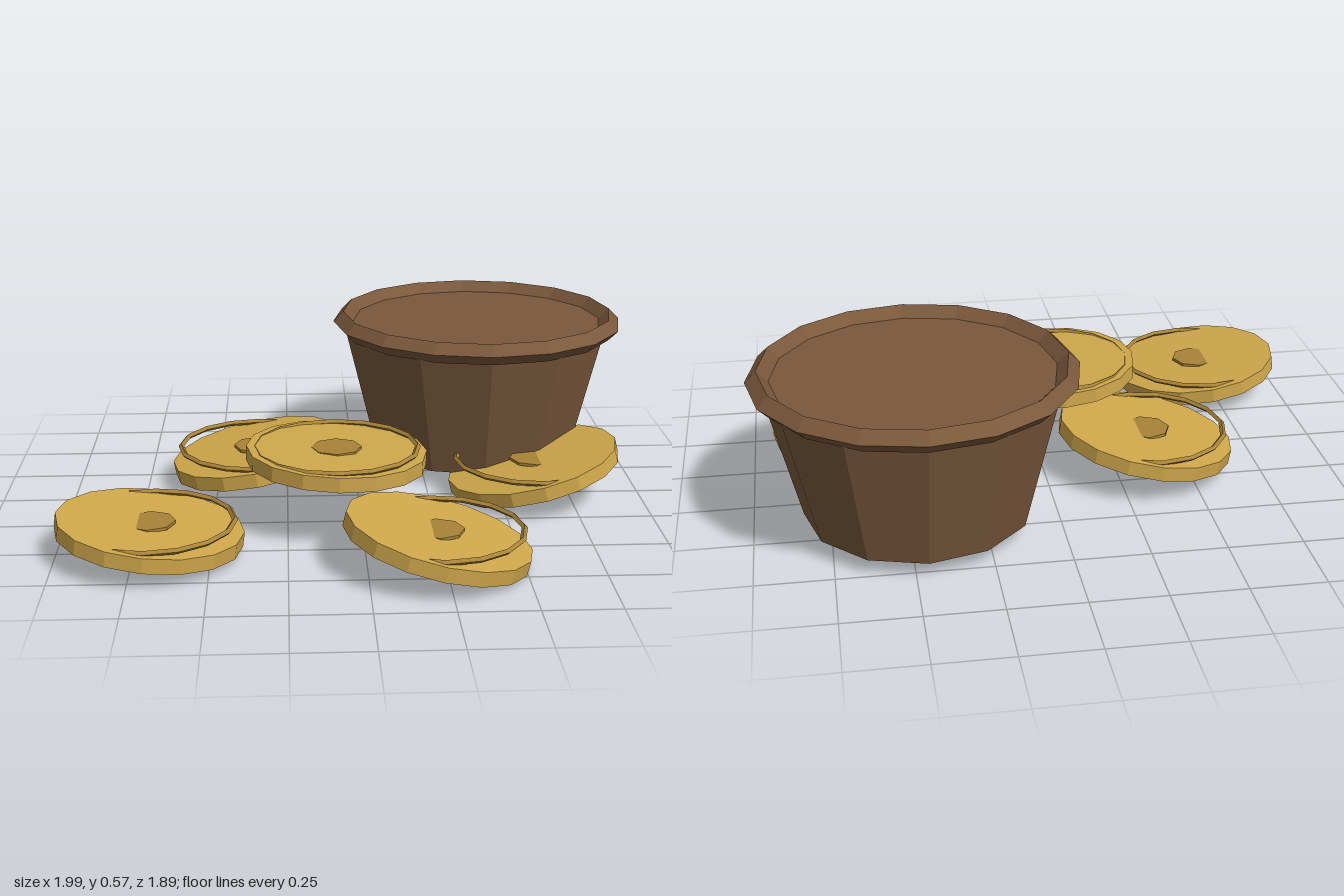
import * as THREE from 'three';

const mat = (name, color) => {
  const m = new THREE.MeshStandardMaterial({ color, flatShading: true });
  m.name = name;
  return m;
};

export function createModel() {
  const model = new THREE.Group();
  const brown = mat('brown', 0x7a583c);
  const gold = mat('gold', 0xd0a84c);
  const darkGold = mat('dark gold', 0xa88338);

  const add = (parent, name, geometry, material, x, y, z) => {
    const mesh = new THREE.Mesh(geometry, material);
    mesh.name = name;
    mesh.position.set(x, y, z);
    parent.add(mesh);
    return mesh;
  };

  // Tapered tub with a filled top and a four-sided rim
  const tub = new THREE.Group();
  tub.name = 'tub';
  tub.position.set(0.46, 0, -0.417);
  model.add(tub);
  add(tub, 'tubBody', new THREE.CylinderGeometry(0.495, 0.375, 0.48, 12), brown, 0, 0.303, 0);
  const rim = new THREE.TorusGeometry(0.495, 0.037, 4, 16).rotateX(Math.PI / 2);
  add(tub, 'tubRim', rim, brown, 0, 0.543, 0);

  // Coins: tilted discs, each with a level ring and centre boss partly sunk in
  const discGeo = new THREE.CylinderGeometry(0.305, 0.305, 0.05, 16);
  const ringGeo = new THREE.TorusGeometry(0.275, 0.01, 4, 16).rotateX(Math.PI / 2);
  const bossGeo = new THREE.CylinderGeometry(0.085, 0.085, 0.01, 8);
  const coins = [ // x, y, z, tilt in radians
    [-0.695, 0.093, 0.505, -0.13],
    [-0.355, 0.127, -0.145, 0.18],
    [-0.083, 0.242, 0.23, -0.045],
    [0.224, 0.103, 0.64, -0.23],
    [0.625, 0.11, -0.01, 0.25],
  ];
  coins.forEach(([x, y, z, tilt], i) => {
    const coin = new THREE.Group();
    coin.name = `coin${i + 1}`;
    coin.position.set(x, y, z);
    add(coin, 'coinDisc', discGeo, gold, 0, 0, 0).rotation.z = tilt;
    add(coin, 'coinRing', ringGeo, darkGold, 0, 0.028, 0);
    add(coin, 'coinBoss', bossGeo, darkGold, 0, 0.025, 0);
    model.add(coin);
  });

  return model;
}
